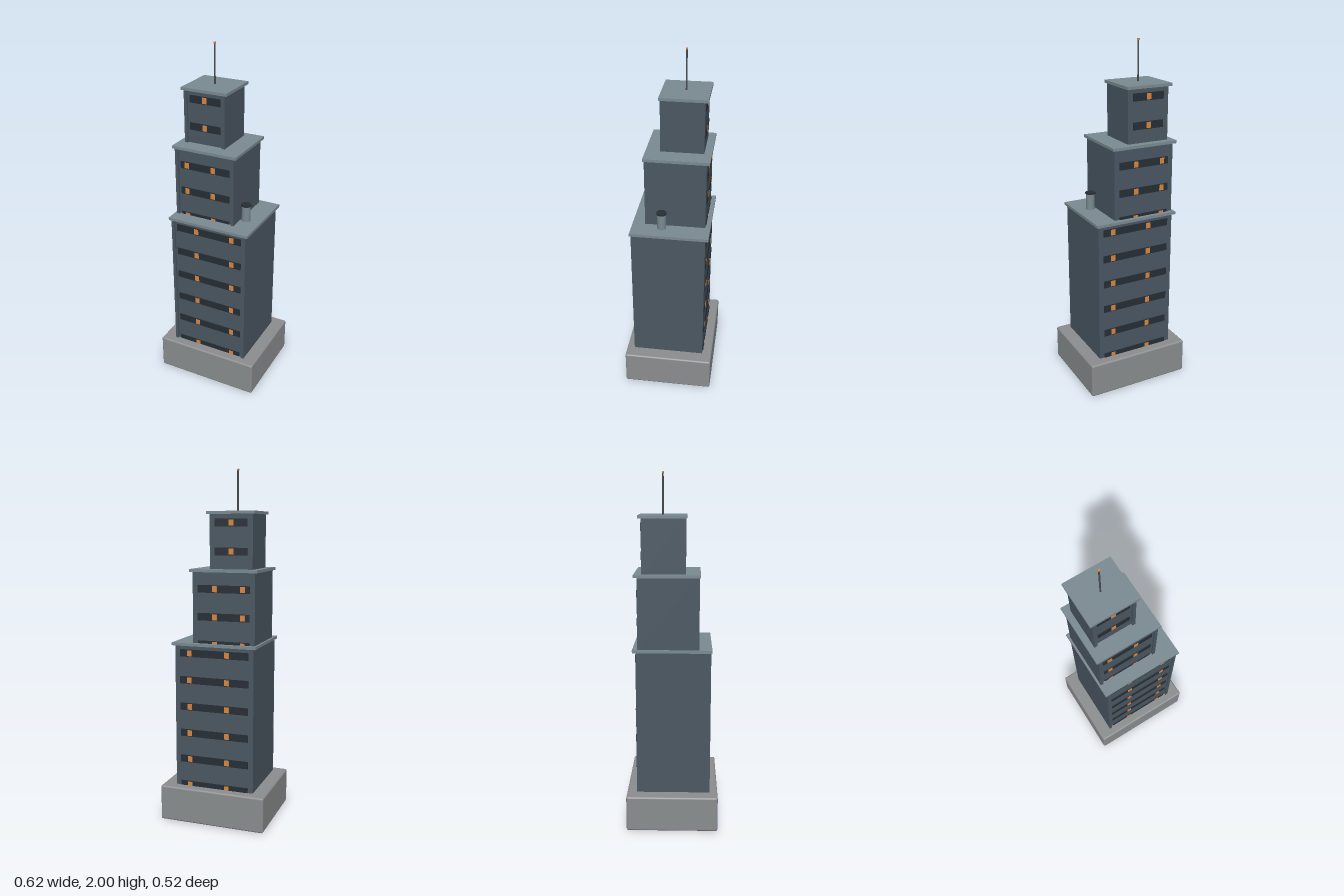
import * as THREE from 'three';
import { RoundedBoxGeometry } from 'three/addons/geometries/RoundedBoxGeometry.js';

const mat = (color) => new THREE.MeshStandardMaterial({ color });
const MATS = {
  stone: mat(0x8a8d8e), wall: mat(0x4a5762), trim: mat(0x7a8991),
  glass: mat(0x262e35), lit: mat(0xd9863f), metal: mat(0x4a4d50),
};

function add(parent, name, geometry, material, x, y, z) {
  const mesh = new THREE.Mesh(geometry, material);
  mesh.name = name;
  mesh.position.set(x, y, z);
  parent.add(mesh);
  return mesh;
}

const box = (w, h, d) => new THREE.BoxGeometry(w, h, d);

// One stepped block: walls, roof slab, front corner fins and window rows front and back
function makeTier({ name, x, z, halfW, halfD, y0, y1, rows, bandHalf, lit }) {
  const tier = new THREE.Group();
  tier.name = name;
  const slab = 0.016, wallTop = y1 - slab, h = wallTop - y0, mid = (y0 + wallTop) / 2;

  add(tier, 'walls', box(halfW * 2, h, halfD * 2), MATS.wall, x, mid, z);
  add(tier, 'roofSlab', box(halfW * 2 + 0.029, slab, halfD * 2 + 0.036), MATS.trim, x, y1 - slab / 2, z);

  for (const side of [-1, 1])
    add(tier, 'cornerFin', box(0.018, h, 0.018), MATS.wall,
      x + side * (halfW - 0.0085), mid, z + halfD + 0.003);

  for (const y of rows) {
    for (const face of [-1, 1]) {
      const wallZ = z + face * halfD;
      add(tier, 'windowBand', box(bandHalf * 2, 0.042, 0.008), MATS.glass, x, y, wallZ);
      for (const wx of lit)
        add(tier, 'litWindow', box(0.027, 0.033, 0.012), MATS.lit, wx, y, wallZ);
    }
  }
  return tier;
}

export function createModel() {
  const tower = new THREE.Group();
  tower.name = 'tower';

  // Plinth with softened edges
  add(tower, 'plinth', new RoundedBoxGeometry(0.62, 0.205, 0.52, 2, 0.01), MATS.stone, 0, 0.1025, 0);

  // Three stepped tiers
  const rows = (start, n) => Array.from({ length: n }, (_, i) => start + i * 0.155);
  const tiers = [
    { name: 'lowerTier', x: 0, z: 0, halfW: 0.2325, halfD: 0.203, y0: 0.2, y1: 1.046,
      rows: rows(0.212, 6), bandHalf: 0.203, lit: [-0.077, 0.146] },
    { name: 'middleTier', x: -0.0535, z: -0.0275, halfW: 0.181, halfD: 0.1645, y0: 1.04, y1: 1.459,
      rows: rows(1.041, 3), bandHalf: 0.151, lit: [-0.165, -0.003] },
    { name: 'upperTier', x: -0.089, z: -0.0535, halfW: 0.1235, halfD: 0.1145, y0: 1.45, y1: 1.772,
      rows: rows(1.555, 2), bandHalf: 0.093, lit: [-0.091] },
  ];
  for (const t of tiers) tower.add(makeTier(t));

  // Roof vent with dark cap
  const vent = new THREE.Group();
  vent.name = 'roofVent';
  add(vent, 'ventPipe', new THREE.CylinderGeometry(0.025, 0.025, 0.1, 24), MATS.trim, 0.159, 1.09, 0.05);
  add(vent, 'ventCap', new THREE.CylinderGeometry(0.029, 0.029, 0.008, 24), MATS.glass, 0.159, 1.142, 0.05);
  tower.add(vent);

  // Mast with a small beacon
  const mast = new THREE.Group();
  mast.name = 'mast';
  add(mast, 'mastPole', new THREE.CylinderGeometry(0.0045, 0.0045, 0.226, 10), MATS.metal, -0.089, 1.88, -0.0535);
  add(mast, 'beacon', box(0.011, 0.009, 0.011), MATS.lit, -0.089, 1.9955, -0.0535);
  tower.add(mast);

  return tower;
}
